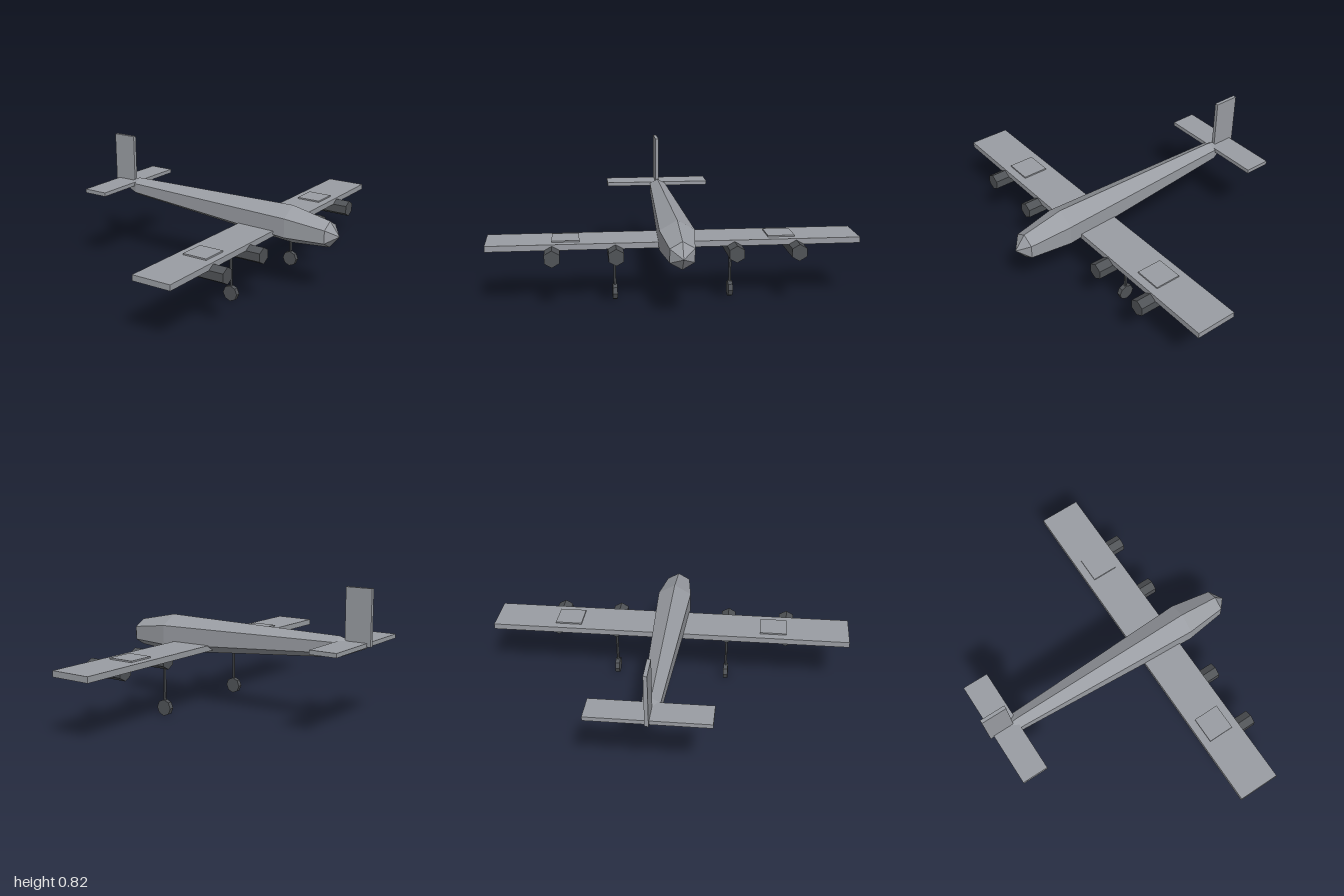
import * as THREE from 'three';

export function createModel() {
  const model = new THREE.Group();
  model.name = 'airplane';
  const airframe = new THREE.MeshStandardMaterial({ name: 'airframe grey', color: 0x9a9da3, flatShading: true });
  const dark = new THREE.MeshStandardMaterial({ name: 'dark grey', color: 0x505357, flatShading: true });

  const add = (name, geometry, material, x, y, z) => {
    const mesh = new THREE.Mesh(geometry, material);
    mesh.name = name;
    mesh.position.set(x, y, z);
    model.add(mesh);
    return mesh;
  };
  const box = (name, w, h, d, x, y, z) => add(name, new THREE.BoxGeometry(w, h, d), airframe, x, y, z);

  // Fuselage: hexagonal rings [z, centre height, radius] from tail to nose
  const rings = [
    [-0.995, 0.485, 0.002], [-0.83, 0.477, 0.061], [0.37, 0.432, 0.121],
    [0.628, 0.415, 0.083], [0.692, 0.41, 0.002],
  ];
  const sides = 6, points = [], faces = [];
  rings.forEach(([z, y, r], i) => {
    for (let s = 0; s < sides; s++) {
      const a = (s / sides) * Math.PI * 2;
      points.push(Math.sin(a) * r, y + Math.cos(a) * r, z);
      if (i === rings.length - 1) continue;
      const p = i * sides + s, q = i * sides + (s + 1) % sides;
      faces.push(p, p + sides, q, q, p + sides, q + sides);
    }
  });
  const body = new THREE.BufferGeometry();
  body.setAttribute('position', new THREE.Float32BufferAttribute(points, 3));
  body.setIndex(faces);
  body.computeVertexNormals();
  add('fuselage', body, airframe, 0, 0, 0);

  // Flying surfaces
  box('wing', 2.258, 0.036, 0.258, 0, 0.381, 0.161);
  box('tailplane', 0.705, 0.025, 0.165, 0, 0.503, -0.919);
  box('fin', 0.022, 0.325, 0.16, 0, 0.6575, -0.945);

  for (const side of [-1, 1]) {
    // Raised panel on the wing
    box('wingPanel', 0.165, 0.012, 0.162, side * 0.653, 0.402, 0.161);

    // Two engine pods under each wing
    for (const x of [0.358, 0.735]) {
      const pod = new THREE.CylinderGeometry(0.052, 0.052, 0.26, 6).rotateX(Math.PI / 2);
      add('engine', pod, dark, side * x, 0.338, 0.256);
    }

    // Main landing gear
    add('gearStrut', new THREE.CylinderGeometry(0.009, 0.009, 0.32, 6), dark, side * 0.357, 0.21, 0.155);
    const wheel = new THREE.CylinderGeometry(0.05, 0.05, 0.028, 8).rotateZ(Math.PI / 2);
    add('wheel', wheel, dark, side * 0.357, 0.05, 0.155);
  }

  // Heading is turned toward the left
  model.rotation.y = THREE.MathUtils.degToRad(55);
  model.position.set(0.067, 0, -0.096);
  const root = new THREE.Group();
  root.name = 'model';
  root.add(model);
  return root;
}
